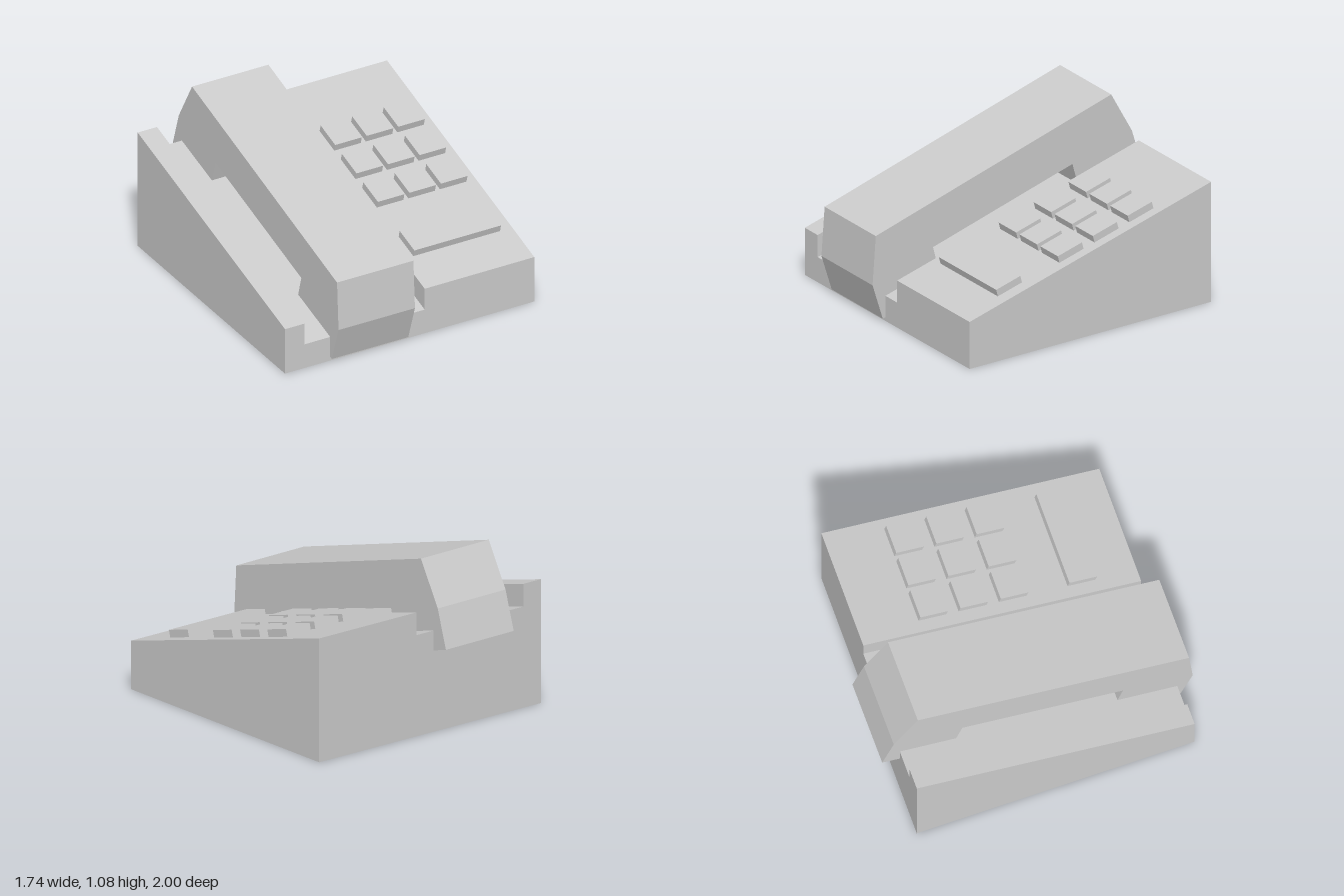
import * as THREE from 'three';

const SLOPE = 0.27;             // rise of the sloping deck per unit of depth
const FRONT = 0.9, BACK = -0.88;

const material = new THREE.MeshStandardMaterial({ color: 0xcccccc, flatShading: true });

function addMesh(parent, name, geometry) {
  const mesh = new THREE.Mesh(geometry, material);
  mesh.name = name;
  parent.add(mesh);
  return mesh;
}

function extrude(points, depth) {
  const shape = new THREE.Shape(points.map(([x, y]) => new THREE.Vector2(x, y)));
  return new THREE.ExtrudeGeometry(shape, { depth, bevelEnabled: false });
}

// Wedge body: front outline with the handset channel, upper points raised towards the back
function bodyGeometry() {
  const geometry = extrude([
    [-0.87, 0], [0.87, 0], [0.87, 0.31], [0.105, 0.31], [0.105, 0.165],
    [-0.735, 0.165], [-0.735, 0.31], [-0.87, 0.31],
  ], FRONT - BACK);
  geometry.translate(0, 0, BACK);
  const p = geometry.attributes.position;
  for (let i = 0; i < p.count; i++) {
    if (p.getY(i) > 0.01) p.setY(i, p.getY(i) + SLOPE * (FRONT - p.getZ(i)));
  }
  geometry.computeVertexNormals();
  return geometry;
}

// Handset: side outline (z, y) with a raised grip between mouthpiece and earpiece
function handsetGeometry(width, centreY) {
  const outline = [
    [0.975, 0.58], [-0.765, 1.078], [-0.92, 0.80], [-0.995, 0.555], [-0.555, 0.425],
    [-0.48, 0.69], [0.55, 0.40], [0.48, 0.14], [0.92, 0.02], [0.997, 0.26],
  ];
  const geometry = extrude(outline.map(([z, y]) => [z, y - centreY]), width);
  geometry.translate(0, 0, -width / 2);
  geometry.rotateY(-Math.PI / 2);
  return geometry;
}

export function createModel() {
  const model = new THREE.Group();
  model.name = 'deskTelephone';

  addMesh(model, 'body', bodyGeometry());

  // Handset lies very slightly askew in its channel
  const handset = addMesh(model, 'handset', handsetGeometry(0.535, 0.5));
  handset.position.set(-0.29, 0.5, 0);
  handset.rotation.set(0, 0.006, -0.007);

  // Keypad frame: origin on the front edge of the deck, local y normal to it
  const keypad = new THREE.Group();
  keypad.name = 'keypad';
  keypad.position.set(0, 0.31, FRONT);
  keypad.rotation.x = Math.atan(SLOPE);
  model.add(keypad);

  const keySize = 0.184, keyHeight = 0.047, sunk = 0.02;
  const addKey = (name, left, width, backZ) => {
    const key = addMesh(keypad, name, new THREE.BoxGeometry(width, keyHeight + sunk, keySize));
    const localBack = (backZ - FRONT) * Math.hypot(1, SLOPE);
    key.position.set(left + width / 2, (keyHeight - sunk) / 2, localBack + keySize / 2);
  };

  // Three by three keys and one wide bar below them
  for (const backZ of [-0.5, -0.243, 0.015]) {
    for (const left of [0.18, 0.4, 0.62]) addKey('key', left, 0.185, backZ);
  }
  addKey('wideKey', 0.18, 0.605, 0.455);

  return model;
}
